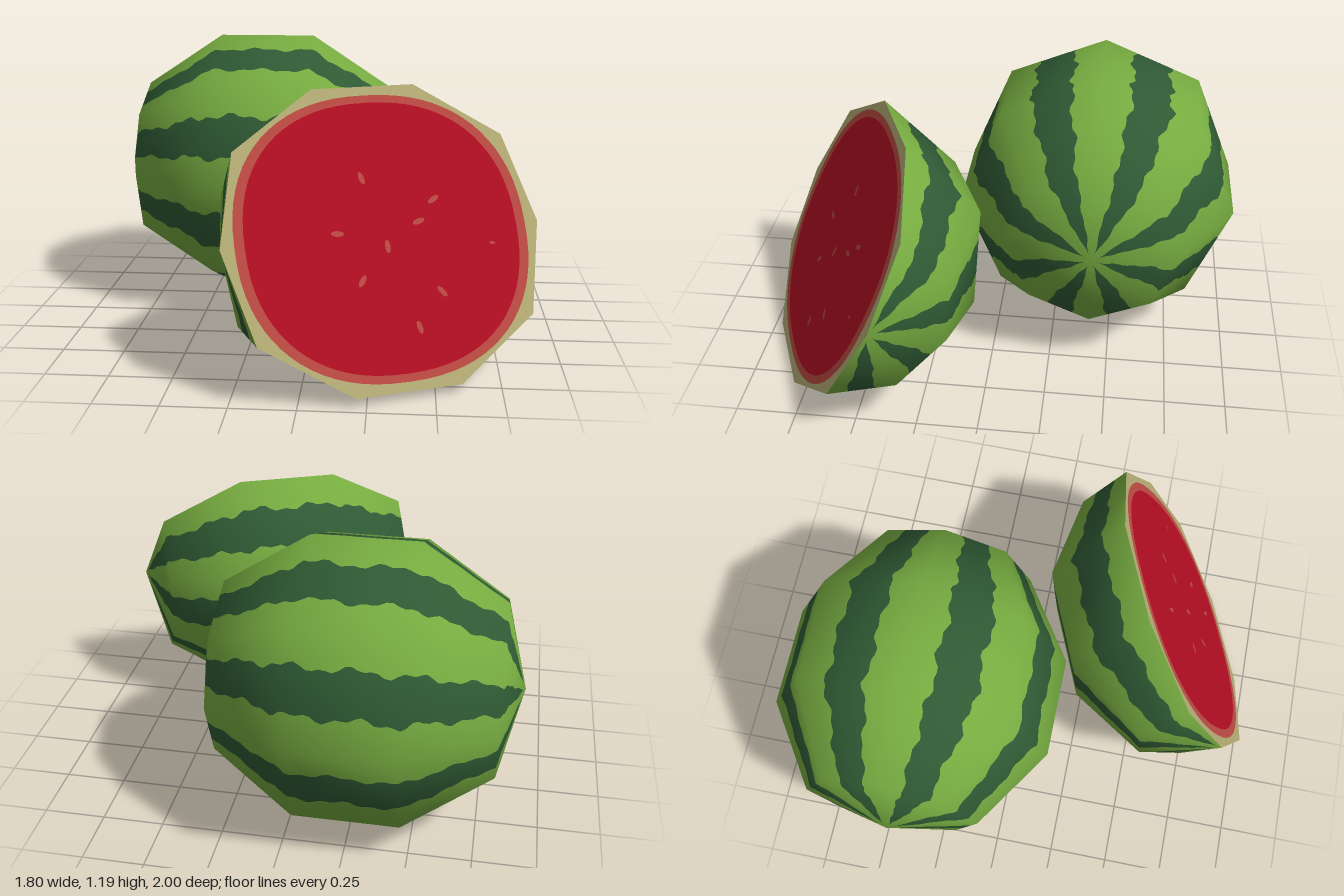
import * as THREE from 'three';

const mat = (name, color, side = THREE.FrontSide) => {
  const m = new THREE.MeshStandardMaterial({ color, side });
  m.name = name;
  return m;
};

// Half outline of a melon along its long axis: [x, radius]
const PROFILE = [[-0.64, 0], [-0.55, 0.36], [-0.21, 0.585], [0.21, 0.585], [0.55, 0.36], [0.64, 0]];
const SIDES = 8, STEPS = 18;
const lerp = THREE.MathUtils.lerp;

// Point and soft normal on panel k, at fraction f across it and s along the profile
function skinPoint(k, f, s) {
  const i = Math.min(Math.floor(s), PROFILE.length - 2), g = s - i;
  const at = ([x, r], side) => {
    const a = side * Math.PI * 2 / SIDES;
    return new THREE.Vector3(x, r * Math.cos(a), r * Math.sin(a));
  };
  const normal = (p) => new THREE.Vector3(p.x / 0.41, p.y / 0.342, p.z / 0.342).normalize();
  const corners = [at(PROFILE[i], k), at(PROFILE[i], k + 1), at(PROFILE[i + 1], k), at(PROFILE[i + 1], k + 1)];
  const mix = ([a, b, c, d]) => a.clone().lerp(b, f).lerp(c.clone().lerp(d, f), g);
  return { p: mix(corners), n: mix(corners.map(normal)).normalize() };
}

// Ragged edges of the dark stripe in panel k; the stripe closes near the poles
function stripeEdges(k, s) {
  const open = THREE.MathUtils.smoothstep(Math.min(s, 5 - s), 0.08, 0.3);
  const wave = (q) => 0.2 + 0.025 * Math.sin(s * 11 + q) + 0.018 * Math.sin(s * 27 + q * 2.3);
  return [0.5 - open * wave(k * 1.7), 0.5 + open * wave(k * 1.7 + 2.4)];
}

// Skin strips over the given panels, either the dark stripes or the light ground
function skin(firstPanel, panels, dark) {
  const pos = [], nor = [], idx = [];
  const total = STEPS * (PROFILE.length - 1);
  for (let k = firstPanel; k < firstPanel + panels; k++) {
    for (const part of dark ? [0] : [0, 1]) {
      const base = pos.length / 3;
      for (let j = 0; j <= total; j++) {
        const s = j / STEPS, [lo, hi] = stripeEdges(k, s);
        const span = dark ? [lo, hi] : part ? [hi, 1] : [0, lo];
        for (const f of span) {
          const { p, n } = skinPoint(k, f, s);
          pos.push(p.x, p.y, p.z);
          nor.push(n.x, n.y, n.z);
        }
        if (j < total) {
          const a = base + j * 2;
          idx.push(a, a + 1, a + 3, a, a + 3, a + 2);
        }
      }
    }
  }
  const g = new THREE.BufferGeometry();
  g.setAttribute('position', new THREE.Float32BufferAttribute(pos, 3));
  g.setAttribute('normal', new THREE.Float32BufferAttribute(nor, 3));
  g.setIndex(idx);
  return g;
}

// Rounded outline on the cut face
function oval(a, b) {
  const pts = [], pow = (v) => Math.sign(v) * Math.abs(v) ** (2 / 2.3);
  for (let i = 0; i < 72; i++) {
    const t = i / 72 * Math.PI * 2;
    pts.push(new THREE.Vector2(a * pow(Math.cos(t)), b * pow(Math.sin(t))));
  }
  return pts;
}

function ringShape(outer, inner) {
  const shape = new THREE.Shape(outer);
  if (inner) shape.holes.push(new THREE.Path(inner));
  return new THREE.ShapeGeometry(shape);
}

export function createModel() {
  const model = new THREE.Group();
  model.name = 'melons';
  const light = mat('light green skin', 0x76ab40);
  const dark = mat('dark green stripe', 0x2f5a34);
  const rind = mat('pale rind', 0xb4ac74);
  const edge = mat('pink flesh', 0xba4a42);
  const flesh = mat('red flesh', 0xb20e23);

  const add = (parent, name, geo, material) => {
    const m = new THREE.Mesh(geo, material);
    m.name = name;
    parent.add(m);
    return m;
  };

  // Whole melon
  const whole = new THREE.Group();
  whole.name = 'wholeMelon';
  add(whole, 'wholeSkin', skin(0, 8, false), light);
  add(whole, 'wholeStripes', skin(0, 8, true), dark);
  whole.position.set(-0.26, 0.605, -0.415);
  model.add(whole);

  // Half melon, cut lengthwise and tipped back
  const half = new THREE.Group();
  half.name = 'halfMelon';
  add(half, 'halfSkin', skin(4, 4, false), light);
  add(half, 'halfStripes', skin(4, 4, true), dark);

  // Cut face: rind, pink border, red flesh
  const outline = [
    ...PROFILE.map(([x, r]) => new THREE.Vector2(x, -r)),
    ...PROFILE.slice(1, -1).reverse().map(([x, r]) => new THREE.Vector2(x, r)),
  ];
  const pinkLine = oval(0.585, 0.55), redLine = oval(0.547, 0.52);
  add(half, 'cutRind', ringShape(outline, pinkLine), rind);
  add(half, 'cutBorder', ringShape(pinkLine, redLine), edge);
  add(half, 'cutFlesh', ringShape(redLine), flesh);

  // Seeds as thin ovals pointing towards the middle
  const seeds = [[-0.063, 0.224], [-0.19, 0.02], [0.214, 0.12], [0.14, 0.04], [0, -0.045],
    [0.19, -0.235], [0.077, -0.358], [-0.12, -0.165], [0.43, -0.07]];
  seeds.forEach(([x, y], i) => {
    const seed = add(half, 'seed' + (i + 1), new THREE.CircleGeometry(1, 10), edge);
    const size = i === 8 ? 0.5 : 1;
    seed.scale.set(0.026 * size, 0.011 * size, 1);
    seed.position.set(x, y, 0.003);
    seed.rotation.z = Math.atan2(y, x);
  });

  const axis = new THREE.Vector3(0.922, 0, -0.387).normalize();
  const face = new THREE.Vector3(0.348, 0.449, 0.822).normalize();
  const up = face.clone().cross(axis).normalize();
  face.crossVectors(axis, up);
  half.quaternion.setFromRotationMatrix(new THREE.Matrix4().makeBasis(axis, up, face));
  half.position.set(0.305, 0.56, 0.635);
  model.add(half);

  return model;
}
